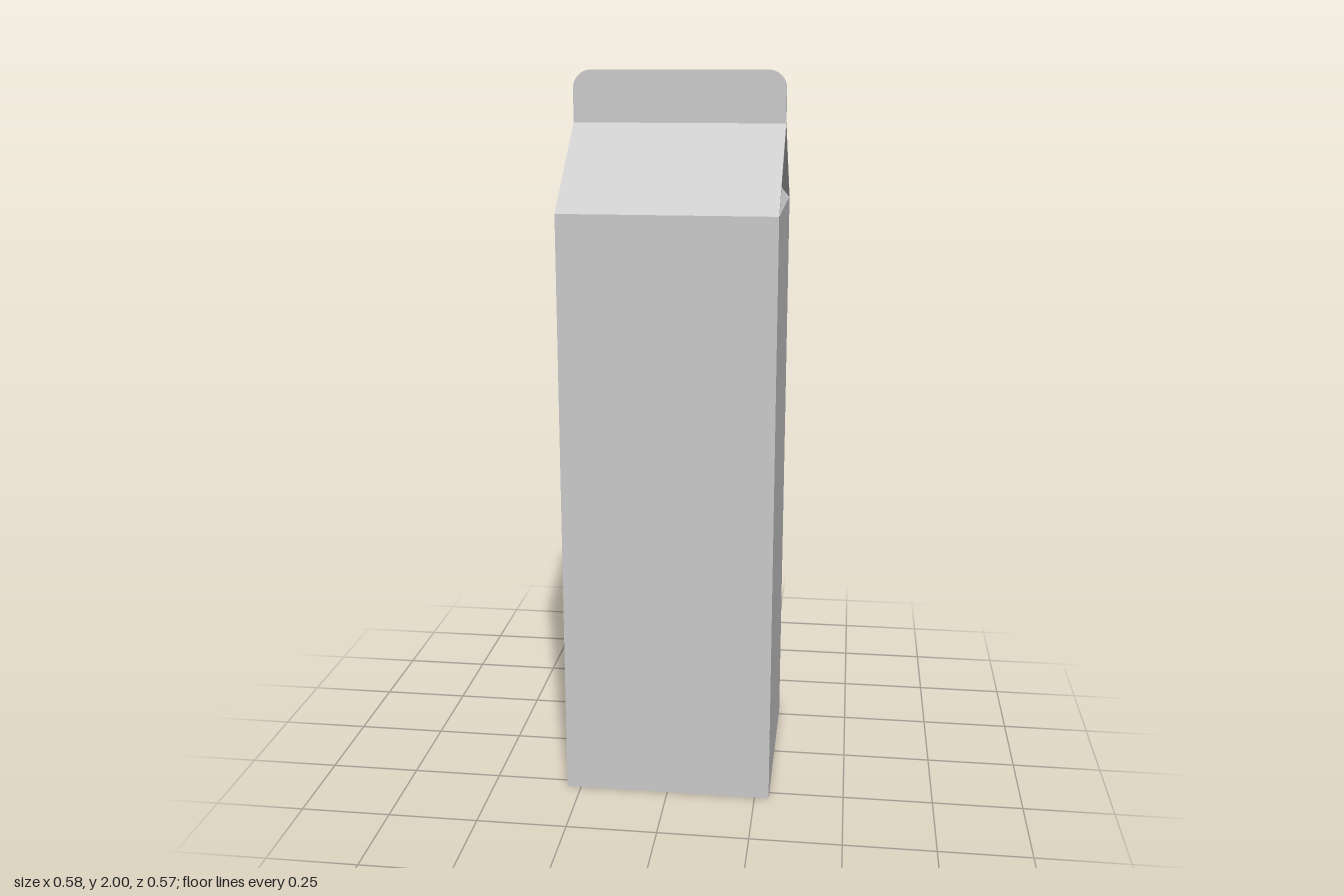
import * as THREE from 'three';

const W = 0.29, D = 0.283;             // half width, half depth
const EAVE = 1.64, RIDGE = 1.86, TOP = 2;
const FIN = 0.009;                     // half thickness of the top seal
const FOLD = 0.15;                     // how far the gable ends fold inwards
const material = new THREE.MeshStandardMaterial({ color: 0xcccccc, flatShading: true });
const foldMaterial = new THREE.MeshStandardMaterial({ color: 0xcccccc, flatShading: true, side: THREE.DoubleSide });

function addMesh(group, name, geometry, mat = material) {
  const mesh = new THREE.Mesh(geometry, mat);
  mesh.name = name;
  group.add(mesh);
  return mesh;
}

export function createModel() {
  const carton = new THREE.Group();
  carton.name = 'carton';

  // Tall box body
  const body = addMesh(carton, 'body', new THREE.BoxGeometry(2 * W, EAVE, 2 * D));
  body.position.y = EAVE / 2;

  // Two thin sloping roof panels, drawn as an inverted V and extruded across the width
  const profile = new THREE.Shape([
    [-D, EAVE], [-D + 0.015, EAVE], [0, RIDGE - 0.012], [D - 0.015, EAVE],
    [D, EAVE], [FIN, RIDGE], [-FIN, RIDGE],
  ].map(([z, y]) => new THREE.Vector2(z, y)));
  const roof = new THREE.ExtrudeGeometry(profile, { depth: 2 * W, bevelEnabled: false });
  roof.translate(0, 0, -W).rotateY(Math.PI / 2);
  addMesh(carton, 'roofPanels', roof);

  // Upright sealed fin with rounded upper corners
  const r = 0.05;
  const outline = new THREE.Shape();
  outline.moveTo(-W, RIDGE - 0.005);
  outline.lineTo(W, RIDGE - 0.005);
  outline.lineTo(W, TOP - r);
  outline.absarc(W - r, TOP - r, r, 0, Math.PI / 2);
  outline.absarc(-W + r, TOP - r, r, Math.PI / 2, Math.PI);
  const fin = new THREE.ExtrudeGeometry(outline, { depth: 2 * FIN, bevelEnabled: false, curveSegments: 8 });
  fin.translate(0, 0, -FIN);
  addMesh(carton, 'topSeal', fin);

  // Triangular gable ends leaning in under the roof panels
  for (const side of [1, -1]) {
    const points = [
      new THREE.Vector3(side * W, EAVE, side * (D - 0.006)),
      new THREE.Vector3(side * W, EAVE, -side * (D - 0.006)),
      new THREE.Vector3(side * (W - FOLD), RIDGE - 0.008, 0),
    ];
    const gable = new THREE.BufferGeometry().setFromPoints(points);
    gable.computeVertexNormals();
    addMesh(carton, side > 0 ? 'leftGableFold' : 'rightGableFold', gable, foldMaterial);
  }
  return carton;
}
